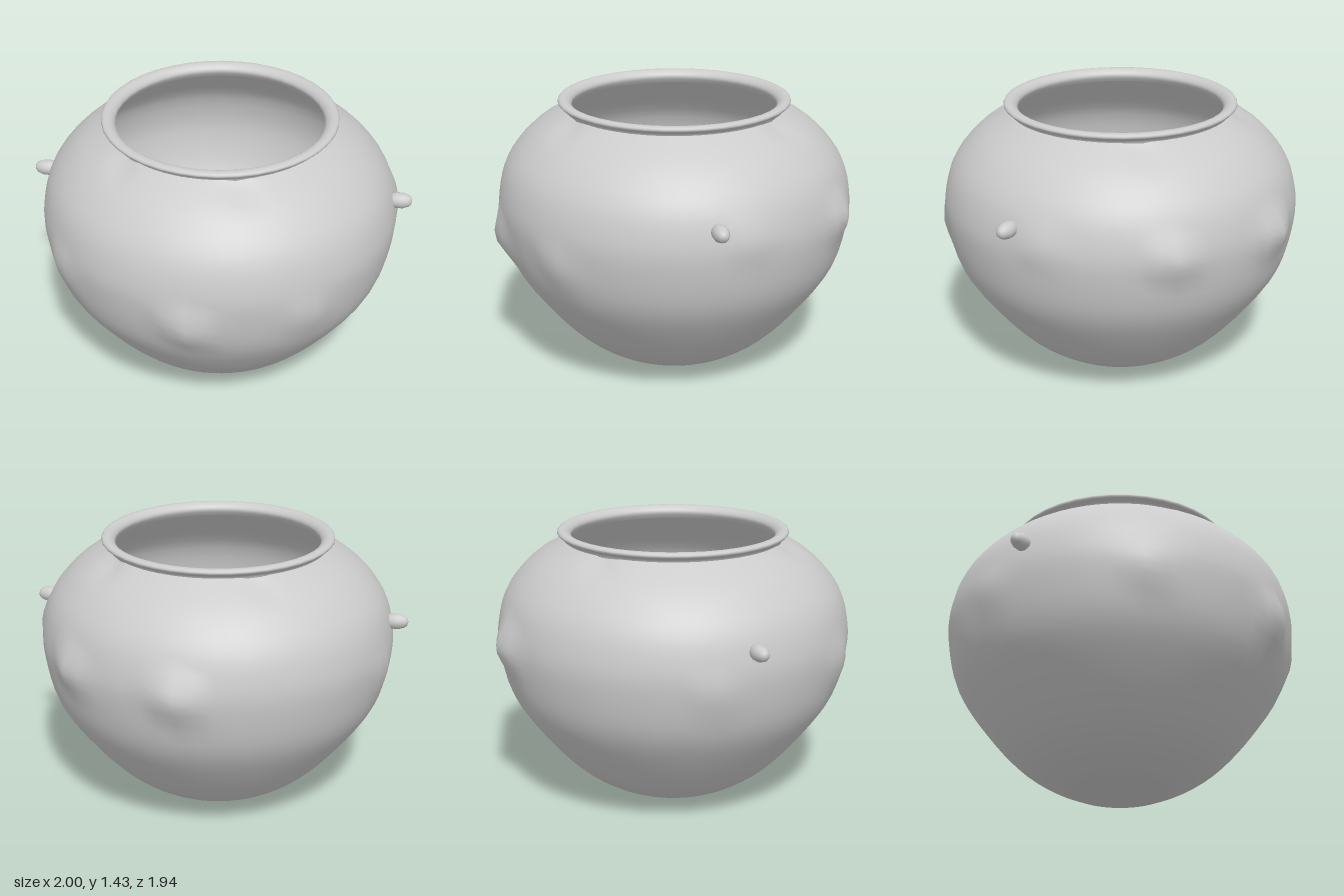
import * as THREE from 'three';
import { mergeVertices } from 'three/addons/utils/BufferGeometryUtils.js';

const material = new THREE.MeshStandardMaterial({ color: 0xcccccc, side: THREE.DoubleSide });
const points = (list) => list.map(([r, y]) => new THREE.Vector2(r, y));

// Local bulges (+) and dents (-) of the hand-worked clay: x, y, z, height, reach
const dents = [
  [0, 0.89, -0.92, 0.06, 0.17],
  [0, 0.73, 0.92, 0.06, 0.17],
  [0.58, 0.9, -0.7, 0.05, 0.16],
  [-0.69, 0.8, 0.6, 0.03, 0.16],
  [0.55, 0.75, 0.72, 0.03, 0.15],
  [0.92, 0.95, -0.15, 0.02, 0.15],
  [-0.91, 0.8, -0.2, 0.02, 0.15],
  [-0.4, 1.33, 0.47, -0.04, 0.1],
  [0.2, 1.33, 0.59, -0.04, 0.1],
  [-0.32, 1.33, -0.54, -0.04, 0.1],
  [0.46, 1.33, -0.43, -0.04, 0.1],
];

// Revolve a profile, then push its vertices outward at each bulge or dent
function turned(profile, segments, marks = []) {
  let g = new THREE.LatheGeometry(profile, segments);
  g.deleteAttribute('uv');
  g.deleteAttribute('normal');
  g = mergeVertices(g, 1e-4);
  const pos = g.attributes.position;
  const v = new THREE.Vector3();
  for (let i = 0; i < pos.count; i++) {
    v.fromBufferAttribute(pos, i);
    const r = Math.hypot(v.x, v.z);
    if (r < 0.01) continue;
    let push = 0;
    for (const [x, y, z, h, reach] of marks) {
      const d = Math.hypot(v.x - x, v.y - y, v.z - z);
      push += h * Math.max(0, 1 - d / reach);
    }
    pos.setXYZ(i, v.x * (1 + push / r), v.y, v.z * (1 + push / r));
  }
  g.computeVertexNormals();
  return g;
}

function addMesh(group, name, geometry) {
  const mesh = new THREE.Mesh(geometry, material);
  mesh.name = name;
  group.add(mesh);
  return mesh;
}

export function createModel() {
  const pot = new THREE.Group();
  pot.name = 'pot';

  // Outer wall, swelling from a narrow foot to the shoulder and neck
  const wall = new THREE.SplineCurve(points([
    [0.26, 0], [0.41, 0.07], [0.56, 0.18], [0.72, 0.36], [0.865, 0.58],
    [0.922, 0.82], [0.915, 0.98], [0.86, 1.13], [0.735, 1.27], [0.57, 1.375],
  ])).getPoints(36);
  addMesh(pot, 'outerWall', turned(wall, 64, dents));

  // Flat underside
  addMesh(pot, 'base', turned(points([[0, 0], [0.26, 0]]), 64));

  // Hollow interior
  const inside = new THREE.SplineCurve(points([
    [0.55, 1.38], [0.68, 1.25], [0.81, 1.11], [0.86, 0.95], [0.86, 0.8],
    [0.8, 0.58], [0.66, 0.37], [0.5, 0.2], [0.28, 0.09], [0, 0.06],
  ])).getPoints(24);
  addMesh(pot, 'innerWall', turned(inside, 40));

  // Rolled lip, flaring above the neck
  const lip = new THREE.SplineCurve(points([
    [0.565, 1.355], [0.575, 1.385], [0.602, 1.405], [0.595, 1.422],
    [0.565, 1.424], [0.54, 1.408], [0.532, 1.385], [0.55, 1.355],
  ])).getPoints(20);
  addMesh(pot, 'rim', turned(lip, 40));

  // Small egg-shaped lugs on the shoulder
  for (const side of [-1, 1]) {
    const lug = addMesh(pot, side > 0 ? 'leftLug' : 'rightLug', turned(points([
      [0, 0], [0.03, 0.012], [0.041, 0.05], [0.041, 0.085], [0.03, 0.115], [0.018, 0.128], [0, 0.132],
    ]), 14));
    lug.position.set(side * 0.868, 1.01, 0.01);
    lug.rotation.z = -side * Math.PI / 2;
  }

  return pot;
}
